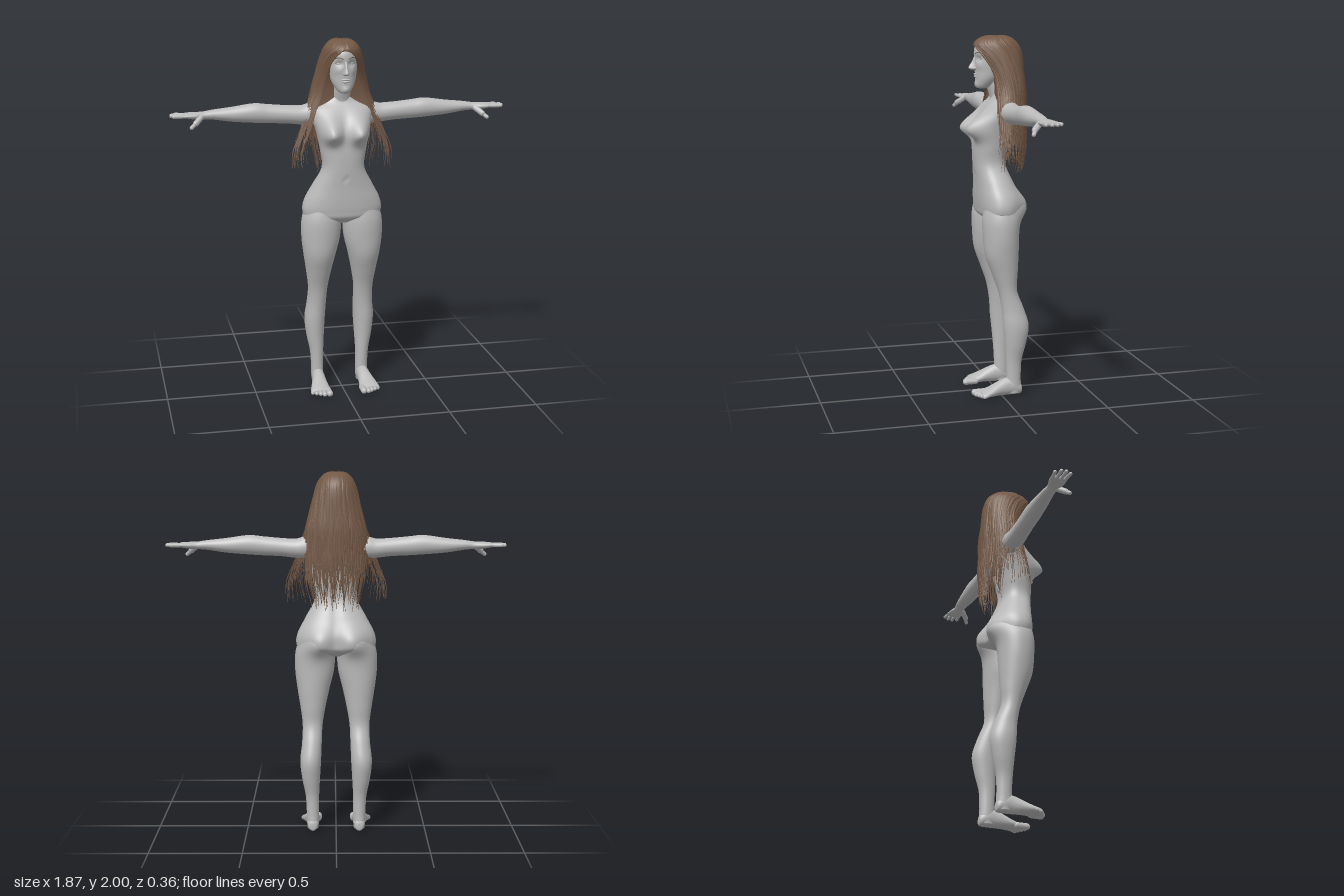
import * as THREE from 'three';
import { mergeGeometries } from 'three/addons/utils/BufferGeometryUtils.js';

const skin = new THREE.MeshStandardMaterial({ color: 0xbababa });
skin.name = 'grey skin';
const brown = new THREE.MeshStandardMaterial({ color: 0x735845, side: THREE.DoubleSide });
brown.name = 'brown hair';

let seed = 7;
const rand = () => (seed = (seed * 16807) % 2147483647) / 2147483647;

// Catmull-Rom sample of a table of rows, u from 0 to 1
function sample(rows, u) {
  const f = Math.min(Math.max(u, 0), 1) * (rows.length - 1);
  const i = Math.min(Math.floor(f), rows.length - 2), t = f - i;
  const r = (k) => rows[Math.min(Math.max(k, 0), rows.length - 1)];
  return rows[0].map((_, c) => {
    const [a, b, d, e] = [r(i - 1)[c], r(i)[c], r(i + 1)[c], r(i + 2)[c]];
    return b + 0.5 * t * (d - a + t * (2 * a - 5 * b + 4 * d - e + t * (3 * (b - d) + e - a)));
  });
}

// Closed loft along an axis; rows are [t, p, q, radiusP, radiusQ], t ascending
const place = {
  x: (t, p, q) => [t, p, q],
  y: (t, p, q) => [q, t, p],
  z: (t, p, q) => [p, q, t],
};
function loft(axis, rows, steps = 40, sides = 40, power = 2) {
  const pos = [], idx = [], put = place[axis];
  const curve = (v) => Math.sign(v) * Math.abs(v) ** (2 / power);
  for (let i = 0; i <= steps; i++) {
    const [t, p, q, rp, rq] = sample(rows, i / steps);
    for (let j = 0; j < sides; j++) {
      const a = (j / sides) * Math.PI * 2;
      pos.push(...put(t, p + rp * curve(Math.cos(a)), q + rq * curve(Math.sin(a))));
    }
  }
  for (let i = 0; i < steps; i++) for (let j = 0; j < sides; j++) {
    const a = i * sides + j, b = i * sides + (j + 1) % sides;
    idx.push(a, b, b + sides, a, b + sides, a + sides);
  }
  const first = rows[0], last = rows[rows.length - 1], base = (steps + 1) * sides;
  pos.push(...put(...first.slice(0, 3)), ...put(...last.slice(0, 3)));
  for (let j = 0; j < sides; j++) {
    const k = (j + 1) % sides;
    idx.push(base, k, j, base + 1, steps * sides + j, steps * sides + k);
  }
  const g = new THREE.BufferGeometry();
  g.setAttribute('position', new THREE.Float32BufferAttribute(pos, 3));
  g.setIndex(idx);
  g.computeVertexNormals();
  return g;
}

// Soft swellings: [side of z, |x|, y, spread x, spread up, spread down, depth]
function swell(g, list) {
  const P = g.attributes.position;
  for (let i = 0; i < P.count; i++) {
    const x = Math.abs(P.getX(i)), y = P.getY(i), z = P.getZ(i);
    let dz = 0;
    for (const [side, cx, cy, sx, up, down, amp] of list) {
      const w = THREE.MathUtils.smoothstep(z * side, 0, 0.06);
      dz += side * amp * w * Math.exp(-(((x - cx) / sx) ** 2) - ((y - cy) / (y > cy ? up : down)) ** 2);
    }
    P.setZ(i, z + dz);
  }
  g.computeVertexNormals();
  return g;
}

function mirrored(g) {
  const m = g.clone().scale(-1, 1, 1), I = m.index.array;
  for (let i = 0; i < I.length; i += 3) [I[i], I[i + 1]] = [I[i + 1], I[i]];
  m.computeVertexNormals();
  return m;
}

function capsule(a, b, r, flat = 1) {
  const A = new THREE.Vector3(...a), B = new THREE.Vector3(...b), d = B.clone().sub(A);
  const g = new THREE.CapsuleGeometry(r, d.length(), 6, 14).scale(1, 1, flat);
  g.applyQuaternion(new THREE.Quaternion().setFromUnitVectors(new THREE.Vector3(0, 1, 0), d.normalize()));
  return g.translate(...A.add(B).multiplyScalar(0.5).toArray());
}
const ball = (x, y, z, rx, ry, rz) => new THREE.SphereGeometry(1, 24, 16).scale(rx, ry, rz).translate(x, y, z);

// Hair guide rows: [y, half width, centre z, depth, opening angle, flare]
const hairRows = [
  [2.0, 0.012, 0, 0.02, 0, 0], [1.99, 0.055, 0, 0.075, 0.05, 0], [1.955, 0.092, 0, 0.122, 0.15, 0],
  [1.9, 0.114, -0.013, 0.132, 0.62, 0], [1.8, 0.14, -0.04, 0.115, 0.78, 0], [1.7, 0.165, -0.05, 0.115, 0.85, 0],
  [1.6, 0.175, -0.055, 0.112, 0.85, 0.04], [1.5, 0.175, -0.06, 0.108, 0.85, 0.08],
  [1.4, 0.165, -0.065, 0.1, 0.85, 0.13], [1.3, 0.14, -0.065, 0.09, 0.85, 0.16], [1.22, 0.13, -0.06, 0.08, 0.85, 0.18],
];
// s runs from -1 to 1 around the head, starting and ending at the back
function hairPoint(s, u, lift, across = 0) {
  const [y, rx, cz, rz, open, flare] = sample(hairRows, u);
  const a = open + (Math.PI - open) * Math.abs(s), sign = s < 0 ? -1 : 1;
  const front = 1 - THREE.MathUtils.smoothstep(a, 1.1, 1.9);
  const A = sign * a + across / Math.max(rx, 0.05);
  return [(rx + lift + flare * front) * Math.sin(A), y + lift * (y > 1.97 ? 0.3 : 0),
    cz + flare * 0.35 * front + (rz + lift) * Math.cos(A)];
}
// Open sheet; rows run downward, columns run round the head
function sheet(cols, rows, fn) {
  const pos = [], idx = [];
  for (let i = 0; i <= rows; i++) for (let j = 0; j <= cols; j++) pos.push(...fn(j / cols, i / rows));
  for (let i = 0; i < rows; i++) for (let j = 0; j < cols; j++) {
    const a = i * (cols + 1) + j, c = a + cols + 1;
    idx.push(c, c + 1, a + 1, c, a + 1, a);
  }
  const g = new THREE.BufferGeometry();
  g.setAttribute('position', new THREE.Float32BufferAttribute(pos, 3));
  g.setIndex(idx);
  g.computeVertexNormals();
  return g;
}

function strand(s) {
  const back = Math.abs(s) > 0.4;
  const end = (back ? 0.72 : 0.68) + 0.25 * rand() ** 1.3;
  const depth = -0.016 * rand(), width = 0.006 + 0.005 * rand(), phase = rand() * 6.3, wave = 10 + 8 * rand();
  return sheet(2, 24, (c, t) => {
    const u = 0.03 + (end - 0.03) * t, k = c * 2 - 1;
    const w = width * (1 - t ** 3 * 0.95);
    const sway = 0.009 * t * Math.sin(phase + wave * t);
    const lift = depth + 0.005 * (1 - Math.abs(k)) * (1 - t * 0.6) + 0.004 * t * Math.cos(phase + wave * t);
    return hairPoint(s, u, lift, k * w + sway);
  });
}

export function createModel() {
  const group = new THREE.Group();
  const add = (name, g, m = skin) => {
    const mesh = new THREE.Mesh(g, m);
    mesh.name = name;
    group.add(mesh);
  };
  const pair = (name, g, m) => {
    add('left' + name, g, m);
    add('right' + name, mirrored(g), m);
  };

  // Trunk with chest, seat and spine shaping
  const seat = [-1, 0.09, 1.06, 0.078, 0.085, 0.06, 0.058];
  add('torso', swell(loft('y', [
    [0.985, 0, 0, 0.05, 0.1], [1.02, 0, 0, 0.098, 0.2], [1.06, 0.003, 0, 0.105, 0.222], [1.12, 0.004, 0, 0.109, 0.21],
    [1.2, 0.016, 0, 0.1, 0.168], [1.3, 0.037, 0, 0.087, 0.118], [1.4, 0.033, 0, 0.093, 0.127],
    [1.5, 0.015, 0, 0.098, 0.146], [1.57, -0.004, 0, 0.09, 0.165], [1.62, -0.016, 0, 0.074, 0.165],
    [1.655, -0.024, 0, 0.057, 0.115], [1.69, -0.022, 0, 0.045, 0.055],
  ], 80, 72, 2.3), [
    seat,
    [1, 0.08, 1.495, 0.056, 0.08, 0.05, 0.08],
    [-1, 0, 1.35, 0.025, 0.2, 0.2, -0.012],
    [1, 0, 1.245, 0.009, 0.012, 0.012, -0.008],
  ]));

  // Legs
  pair('Leg', swell(loft('y', [
    [0.01, -0.068, 0.13, 0.04, 0.03], [0.05, -0.069, 0.13, 0.044, 0.034], [0.1, -0.07, 0.13, 0.041, 0.035],
    [0.2, -0.07, 0.133, 0.045, 0.038], [0.3, -0.078, 0.14, 0.06, 0.05], [0.4, -0.08, 0.142, 0.072, 0.058],
    [0.5, -0.062, 0.135, 0.062, 0.055], [0.6, -0.034, 0.131, 0.053, 0.056], [0.7, -0.018, 0.129, 0.072, 0.071],
    [0.8, -0.003, 0.126, 0.092, 0.09], [0.9, 0.001, 0.12, 0.099, 0.108], [1.0, 0.001, 0.116, 0.102, 0.111],
    [1.08, 0, 0.11, 0.09, 0.095],
  ], 72, 48), [seat]));

  // Feet and toes
  const foot = [
    loft('z', [
      [-0.117, 0.13, 0.028, 0.012, 0.016], [-0.108, 0.13, 0.034, 0.026, 0.032], [-0.07, 0.13, 0.05, 0.035, 0.05],
      [-0.03, 0.131, 0.05, 0.036, 0.05], [0.02, 0.135, 0.041, 0.042, 0.04], [0.07, 0.14, 0.028, 0.052, 0.027],
      [0.105, 0.142, 0.021, 0.056, 0.019], [0.122, 0.142, 0.018, 0.05, 0.012],
    ], 36, 28),
    capsule([0.1, 0.019, 0.09], [0.099, 0.018, 0.148], 0.018),
  ];
  for (let i = 0; i < 4; i++) {
    const x = 0.127 + i * 0.0205, r = 0.0135 - i * 0.0008;
    foot.push(capsule([x - 0.002, 0.022, 0.09], [x, 0.014, 0.145 - i * 0.011], r));
  }
  pair('Foot', mergeGeometries(foot.map((g) => (g.deleteAttribute('uv'), g))));

  // Arms and hands
  pair('Arm', loft('x', [
    [0.09, 1.585, -0.04, 0.045, 0.045], [0.165, 1.588, -0.038, 0.06, 0.056], [0.22, 1.584, -0.037, 0.053, 0.054],
    [0.3, 1.59, -0.036, 0.05, 0.05], [0.4, 1.597, -0.037, 0.052, 0.047], [0.48, 1.603, -0.037, 0.053, 0.047],
    [0.6, 1.6, -0.04, 0.04, 0.042], [0.7, 1.602, -0.04, 0.027, 0.034], [0.755, 1.6, -0.038, 0.021, 0.03],
    [0.8, 1.6, -0.037, 0.019, 0.042], [0.84, 1.602, -0.039, 0.015, 0.047], [0.862, 1.602, -0.041, 0.009, 0.043],
  ], 64, 32));
  const hand = [[-0.072, -0.083, 0.9], [-0.051, -0.056, 0.922], [-0.028, -0.029, 0.924], [-0.006, -0.001, 0.912]]
    .map(([z0, z1, x1]) => capsule([0.84, 1.601, z0], [x1, 1.602, z1], 0.0098));
  hand.push(capsule([0.765, 1.594, -0.015], [0.798, 1.566, 0.02], 0.016), capsule([0.795, 1.568, 0.016], [0.822, 1.546, 0.033], 0.011));
  pair('Hand', mergeGeometries(hand));

  // Neck and head
  add('neck', loft('y', [
    [1.62, -0.03, 0, 0.055, 0.07], [1.67, -0.018, 0, 0.051, 0.056], [1.73, 0, 0, 0.05, 0.05], [1.81, 0.01, 0, 0.055, 0.052],
  ], 24, 32));
  add('head', swell(loft('y', [
    [1.712, 0.075, 0, 0.016, 0.012], [1.722, 0.068, 0, 0.042, 0.034], [1.765, 0.045, 0, 0.068, 0.061],
    [1.82, 0.017, 0, 0.098, 0.076], [1.88, 0.004, 0, 0.115, 0.083], [1.93, 0, 0, 0.116, 0.083],
    [1.967, 0, 0, 0.092, 0.066], [1.985, 0, 0, 0.05, 0.035],
  ], 60, 64), [
    [1, 0.034, 1.876, 0.02, 0.014, 0.016, -0.013],
    [1, 0.045, 1.835, 0.02, 0.02, 0.02, 0.005],
    [1, 0, 1.735, 0.02, 0.015, 0.015, 0.006],
  ]));
  add('nose', loft('y', [
    [1.812, 0.112, 0, 0.018, 0.01], [1.82, 0.115, 0, 0.034, 0.018], [1.83, 0.116, 0, 0.035, 0.015],
    [1.855, 0.112, 0, 0.023, 0.009], [1.885, 0.108, 0, 0.012, 0.009], [1.905, 0.106, 0, 0.008, 0.008],
  ], 24, 24));
  add('upperLip', ball(0, 1.79, 0.111, 0.025, 0.006, 0.012));
  add('lowerLip', ball(0, 1.778, 0.109, 0.021, 0.007, 0.012));
  pair('Eye', ball(0.034, 1.876, 0.085, 0.017, 0.0095, 0.014));

  // Lashes and brows
  const arc = (pts, r) => new THREE.TubeGeometry(new THREE.CatmullRomCurve3(pts.map((p) => new THREE.Vector3(...p))), 12, r, 5);
  pair('Lash', arc([[0.016, 1.875, 0.097], [0.033, 1.884, 0.098], [0.052, 1.875, 0.088]], 0.0017), brown);
  pair('Brow', arc([[0.014, 1.9, 0.117], [0.036, 1.908, 0.109], [0.057, 1.902, 0.089]], 0.0022), brown);

  // Hair: ridged under-layer with tapering locks over it
  add('hairCap', sheet(160, 40, (c, t) => {
    const s = c * 2 - 1, reach = 0.58 + 0.05 * Math.sin(s * 47) * Math.sin(s * 19);
    return hairPoint(s, t * reach, -0.012 + 0.003 * Math.sin(s * 90 + t * 5));
  }), brown);
  const locks = [], count = 150;
  for (const side of [-1, 1]) for (let i = 0; i < count; i++) locks.push(strand(side * (0.004 + 0.995 * (i + rand()) / count)));
  add('hairLocks', mergeGeometries(locks), brown);

  return group;
}
